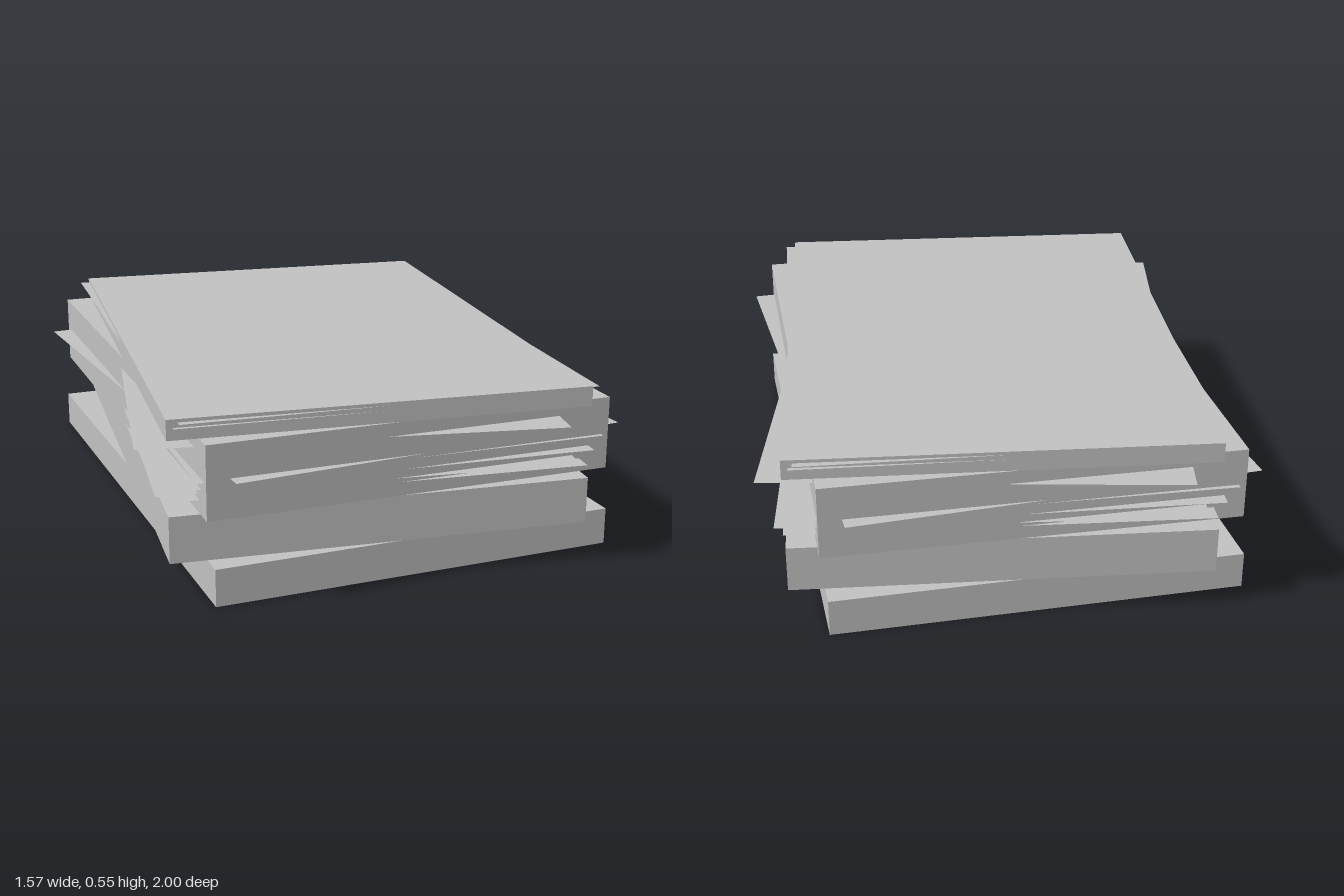
import * as THREE from 'three';

const WIDTH = 1.28, DEPTH = 1.81;

export function createModel() {
  const model = new THREE.Group();
  model.name = 'paperStack';
  const paper = new THREE.MeshStandardMaterial({ color: 0xc0c0c0, side: THREE.DoubleSide });
  paper.name = 'paper grey';

  // Thick bundles of paper: [bottom, top, turn about the vertical axis]
  const bundles = [
    [0, 0.115, 0.046],
    [0.115, 0.258, -0.079],
    [0.258, 0.485, 0.026],
    [0.485, 0.547, -0.079],
  ];
  bundles.forEach(([bottom, top, turn], i) => {
    const mesh = new THREE.Mesh(new THREE.BoxGeometry(WIDTH, top - bottom, DEPTH), paper);
    mesh.name = `bundle${i + 1}`;
    mesh.position.y = (bottom + top) / 2;
    mesh.rotation.y = turn;
    model.add(mesh);
  });

  // Loose single sheets sticking out of the bundles: [height, turn]
  const sheets = [
    [0.30, -0.085],
    [0.313, -0.115],
    [0.338, -0.05],
    [0.369, 0.0],
    [0.379, 0.105],
    [0.444, -0.174],
    [0.522, -0.058],
    [0.537, -0.042],
  ];
  const sheetGeometry = new THREE.PlaneGeometry(WIDTH, DEPTH).rotateX(-Math.PI / 2);
  sheets.forEach(([height, turn], i) => {
    const mesh = new THREE.Mesh(sheetGeometry, paper);
    mesh.name = `looseSheet${i + 1}`;
    mesh.position.y = height;
    mesh.rotation.y = turn;
    model.add(mesh);
  });

  return model;
}
